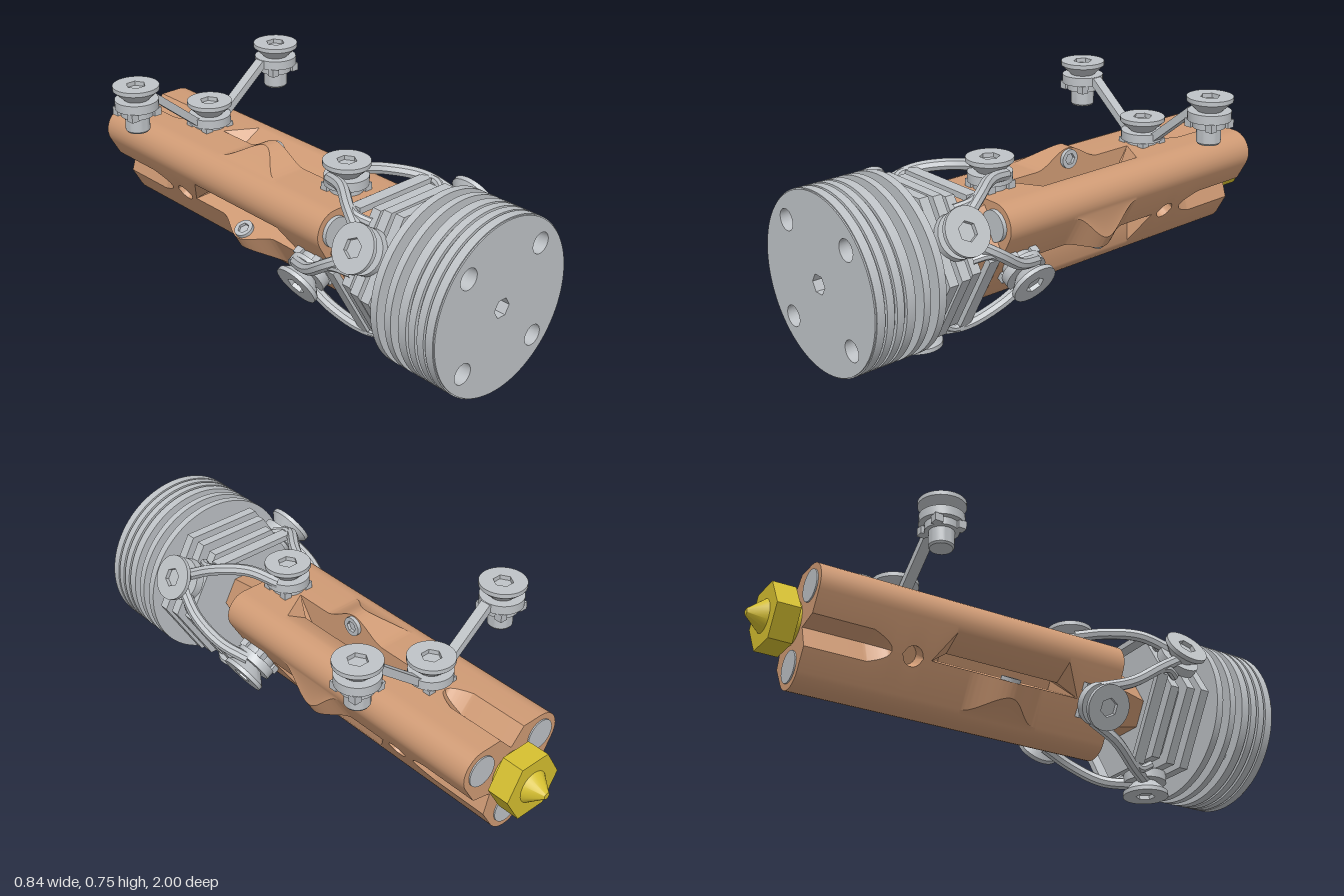
import * as THREE from 'three';
import { toCreasedNormals } from 'three/addons/utils/BufferGeometryUtils.js';

const AXIS_Y = 0.338, BLOCK_BACK = -0.835, BLOCK_FRONT = 0.38, FACE = 0.16;
const steel = new THREE.MeshStandardMaterial({ color: 0xbfc3c7 });
steel.name = 'steel';
const copper = new THREE.MeshStandardMaterial({ color: 0xd09b75 });
copper.name = 'copper';
const brass = new THREE.MeshStandardMaterial({ color: 0xd6c030 });
brass.name = 'brass';

function add(parent, name, geo, mat, x = 0, y = 0, z = 0) {
  const m = new THREE.Mesh(toCreasedNormals(geo, 0.6), mat);
  m.name = name;
  m.position.set(x, y, z);
  parent.add(m);
  return m;
}

function polygon(r, sides, start = 0, cx = 0, cy = 0) {
  return Array.from({ length: sides }, (_, i) => {
    const a = start + (i / sides) * Math.PI * 2;
    return new THREE.Vector2(cx + r * Math.cos(a), cy + r * Math.sin(a));
  });
}

// Plate in the xy plane with holes, from z = 0 to z = depth
function plate(outline, holes, depth) {
  const s = new THREE.Shape(outline);
  for (const h of holes) s.holes.push(new THREE.Path(h));
  return new THREE.ExtrudeGeometry(s, { depth, bevelEnabled: false });
}

const zCylinder = (r0, r1, len, sides = 32, turn = 0) =>
  new THREE.CylinderGeometry(r1, r0, len, sides).rotateY(turn).rotateX(Math.PI / 2);

// Bolt along +y with its head top at the origin: socket cap, cone, washer, shank
function bolt(name, withLugs = false) {
  const g = new THREE.Group();
  g.name = name;
  const cap = plate(polygon(0.085, 32), [polygon(0.036, 6)], 0.016);
  add(g, 'socketHead', cap.rotateX(-Math.PI / 2), steel, 0, -0.016, 0);
  const profile = [[0, -0.177], [0.04, -0.177], [0.045, -0.17], [0.045, -0.115], [0.06, -0.115], [0.06, -0.087],
    [0.08, -0.087], [0.08, -0.053], [0.046, -0.053], [0.085, -0.016], [0, -0.016]];
  add(g, 'coneAndShank', new THREE.LatheGeometry(profile.map(p => new THREE.Vector2(...p)), 32), steel);
  if (withLugs) for (const sx of [-1, 1]) for (const sz of [-1, 1])
    add(g, 'washerLug', new THREE.BoxGeometry(0.03, 0.03, 0.03), steel, sx * 0.05, -0.1, sz * 0.045);
  return g;
}

// Offsets of the groove, hole, clamp recess and boss on each block face at depth z
function faceCut(z) {
  const k = Math.max(0, 1 - Math.abs(z + 0.075) / 0.15);
  const h = 0.06 * k * k * (3 - 2 * k);
  let c = { a: 0, m1: 0, m2: 0, d: 0, d2: 0, c: 0 };
  const hole = 0.036 ** 2 - (z + 0.45) ** 2;
  const clamp = Math.min(1, (z + 0.38) / 0.07, (0.22 - z) / 0.07);
  if (z < -0.53) {
    const s = Math.sqrt(Math.min(1, (-0.53 - z) / 0.08));
    c = { a: -0.055 * s, m1: 0, m2: 0, d: 0.06 * s, d2: 0.06 * s, c: 0.055 * s };
  } else if (hole > 0) {
    const w = Math.sqrt(hole);
    c = { a: -w, m1: -w, m2: w, d: 0.06, d2: 0, c: w };
  } else if (clamp > 0) {
    c = { a: 0, m1: 0, m2: 0.035 * clamp, d: 0.1 * clamp, d2: 0.05 * clamp, c: 0.12 * clamp };
  }
  return { h, ...c };
}

// Three-lobed section of the heater block, clockwise seen from the front
function blockSection(z) {
  const { h, a, m1, m2, d, d2, c } = faceCut(z);
  const one = [[-0.1386, 0], [-0.1386 + 1.4 * h, h], [a, h], [m1, -d], [m2, -d], [m2, -d2], [c, 0], [0.1386, 0]]
    .map(([t, n]) => new THREE.Vector2(t, FACE + n));
  for (let i = 1; i < 10; i++) {
    const q = Math.PI / 2 - (i / 10) * Math.PI * 2 / 3;
    one.push(new THREE.Vector2(0.1386 + 0.08 * Math.cos(q), 0.08 + 0.08 * Math.sin(q)));
  }
  const o = new THREE.Vector2();
  return [0, 1, 2].flatMap(s => one.map(p => p.clone().rotateAround(o, -s * Math.PI * 2 / 3)));
}

function blockGeometry() {
  const pos = [], idx = [], steps = 243;
  let n = 0;
  for (let j = 0; j <= steps; j++) {
    const z = BLOCK_BACK + (BLOCK_FRONT - BLOCK_BACK) * j / steps;
    const sec = blockSection(z);
    n = sec.length;
    for (const p of sec) pos.push(p.x, p.y, z);
  }
  for (let j = 0; j < steps; j++) for (let i = 0; i < n; i++) {
    const a = j * n + i, b = j * n + (i + 1) % n;
    idx.push(a, a + n, b, b, a + n, b + n);
  }
  const g = new THREE.BufferGeometry();
  g.setAttribute('position', new THREE.Float32BufferAttribute(pos, 3));
  g.setIndex(idx);
  return g;
}

function blockCap(z, back) {
  const pts = blockSection(z).filter((p, i, all) => p.distanceTo(all[(i + 1) % all.length]) > 1e-5);
  const g = new THREE.ShapeGeometry(new THREE.Shape(pts));
  if (back) g.index.array.reverse();
  return g;
}

function tube(points, r) {
  const curve = new THREE.CatmullRomCurve3(points.map(p => new THREE.Vector3(...p)));
  return new THREE.TubeGeometry(curve, 20, r, 8);
}

export function createModel() {
  const model = new THREE.Group();
  model.name = 'hotEnd';
  const core = new THREE.Group();
  core.name = 'axisParts';
  core.position.y = AXIS_Y;
  model.add(core);

  // Heater block, neck and nozzle
  add(core, 'heaterBlock', blockGeometry(), copper);
  add(core, 'blockBackFace', blockCap(BLOCK_BACK, true), copper, 0, 0, BLOCK_BACK);
  add(core, 'blockFrontFace', blockCap(BLOCK_FRONT, false), copper, 0, 0, BLOCK_FRONT);
  add(core, 'neck', zCylinder(0.16, 0.1, 0.18, 6, Math.PI / 6), copper, 0, 0, 0.465);
  add(core, 'nozzleCollar', zCylinder(0.08, 0.08, 0.03), brass, 0, 0, -0.845);
  add(core, 'nozzleHex', zCylinder(0.121, 0.121, 0.085, 6, Math.PI / 2), brass, 0, 0, -0.8975);
  add(core, 'nozzleTip', zCylinder(0.012, 0.06, 0.06), brass, 0, 0, -0.97);
  add(core, 'boreEnd', zCylinder(0.034, 0.034, 0.01, 24), brass, 0, 0, 0.6);

  // Round cooling head: four close rings, then two open fins
  const bore = polygon(0.036, 6);
  const bolts = [[1, 1], [-1, 1], [1, -1], [-1, -1]];
  const sockets = bolts.map(([x, y]) => polygon(0.038, 24, 0, x * 0.172, y * 0.172));
  const rings = [[0.965, 0.03], [0.93, 0.027], [0.893, 0.027], [0.85, 0.033], [0.792, 0.026], [0.73, 0.028]];
  rings.forEach(([z, depth], i) =>
    add(core, i < 4 ? 'headRing' : 'coolingFin', plate(polygon(0.317, 80), i < 4 ? [bore, ...sockets] : [bore], depth), steel, 0, 0, z));
  add(core, 'headFace', plate(polygon(0.313, 80), [bore, ...sockets], 0.005), steel, 0, 0, 0.995);
  add(core, 'headCore', plate(polygon(0.305, 64), [bore, ...sockets], 0.12), steel, 0, 0, 0.86);
  add(core, 'centreTube', plate(polygon(0.09, 32), [bore], 0.31), steel, 0, 0, 0.555);
  for (const [x, y] of bolts)
    add(core, 'finColumn', zCylinder(0.05, 0.05, 0.3, 24), steel, x * 0.115, y * 0.115, 0.71);

  // Hexagonal fins carrying the bracket bolts
  for (const [z, r] of [[0.668, 0.3], [0.61, 0.29], [0.552, 0.27]])
    add(core, 'hexFin', plate(polygon(r, 6), [bore], 0.036), steel, 0, 0, z);
  add(core, 'hexFinCore', plate(polygon(0.24, 6), [bore], 0.12), steel, 0, 0, 0.56);

  // Parts repeated around the axis at 120 degrees
  for (let s = 0; s < 3; s++) {
    const face = new THREE.Group();
    face.name = 'blockFaceParts';
    face.rotation.z = -s * Math.PI * 2 / 3;
    core.add(face);
    const b = bolt('blockBolt', true);
    b.position.set(0, 0.272, 0.29);
    face.add(b);

    // A-shaped bracket between the block bolt and two fin bolts
    for (const m of [-1, 1]) {
      add(face, 'bracketArm', tube([[m * 0.06, 0.215, 0.27], [m * 0.11, 0.235, 0.38], [m * 0.185, 0.22, 0.49], [m * 0.235, 0.165, 0.6]], 0.022), steel);
      add(face, 'bracketFoot', tube([[m * 0.16, 0.225, 0.46], [m * 0.19, 0.215, 0.53], [m * 0.17, 0.2, 0.58]], 0.016), steel);
    }
    add(face, 'bracketTie', new THREE.BoxGeometry(0.34, 0.022, 0.045), steel, 0, 0.222, 0.505);

    // Clamp screw facing sideways out of the boss
    const screw = plate(polygon(0.036, 24), [polygon(0.022, 6)], 0.014).rotateY(Math.PI / 2);
    add(face, 'clampScrew', screw, steel, 0, 0.18, -0.075);
    add(face, 'clampScrewCore', new THREE.CylinderGeometry(0.034, 0.034, 0.02, 24).rotateZ(Math.PI / 2), steel, -0.007, 0.18, -0.075);

    // Lobe parts: heater cartridge and fin bolt
    const lobe = new THREE.Group();
    lobe.name = 'lobeParts';
    lobe.rotation.z = -Math.PI / 3 - s * Math.PI * 2 / 3;
    core.add(lobe);
    add(lobe, 'heaterCartridge', zCylinder(0.057, 0.057, 1.235, 32), steel, 0, 0.16, -0.2225);
    const f = bolt('finBolt');
    f.position.set(0, AXIS_Y, 0.62);
    lobe.add(f);
  }

  // Rear mount: a centre bolt and two raised side bolts on slanted arms
  const mount = new THREE.Group();
  mount.name = 'rearMount';
  mount.position.z = -0.46;
  model.add(mount);
  for (const [x, y] of [[0, 0.6], [0.335, 0.752], [-0.335, 0.752]]) {
    const b = bolt('mountBolt', true);
    b.position.set(x, y, 0);
    mount.add(b);
  }
  for (const m of [-1, 1]) {
    const strip = [[0.04, 0.515], [0.07, 0.515], [0.26, 0.668], [0.3, 0.668], [0.3, 0.698], [0.252, 0.698], [0.06, 0.543], [0.04, 0.543]];
    const g = plate(strip.map(([x, y]) => new THREE.Vector2(m * x, y)), [], 0.04);
    add(mount, 'mountArm', g, steel, 0, 0, -0.02);
  }
  return model;
}
